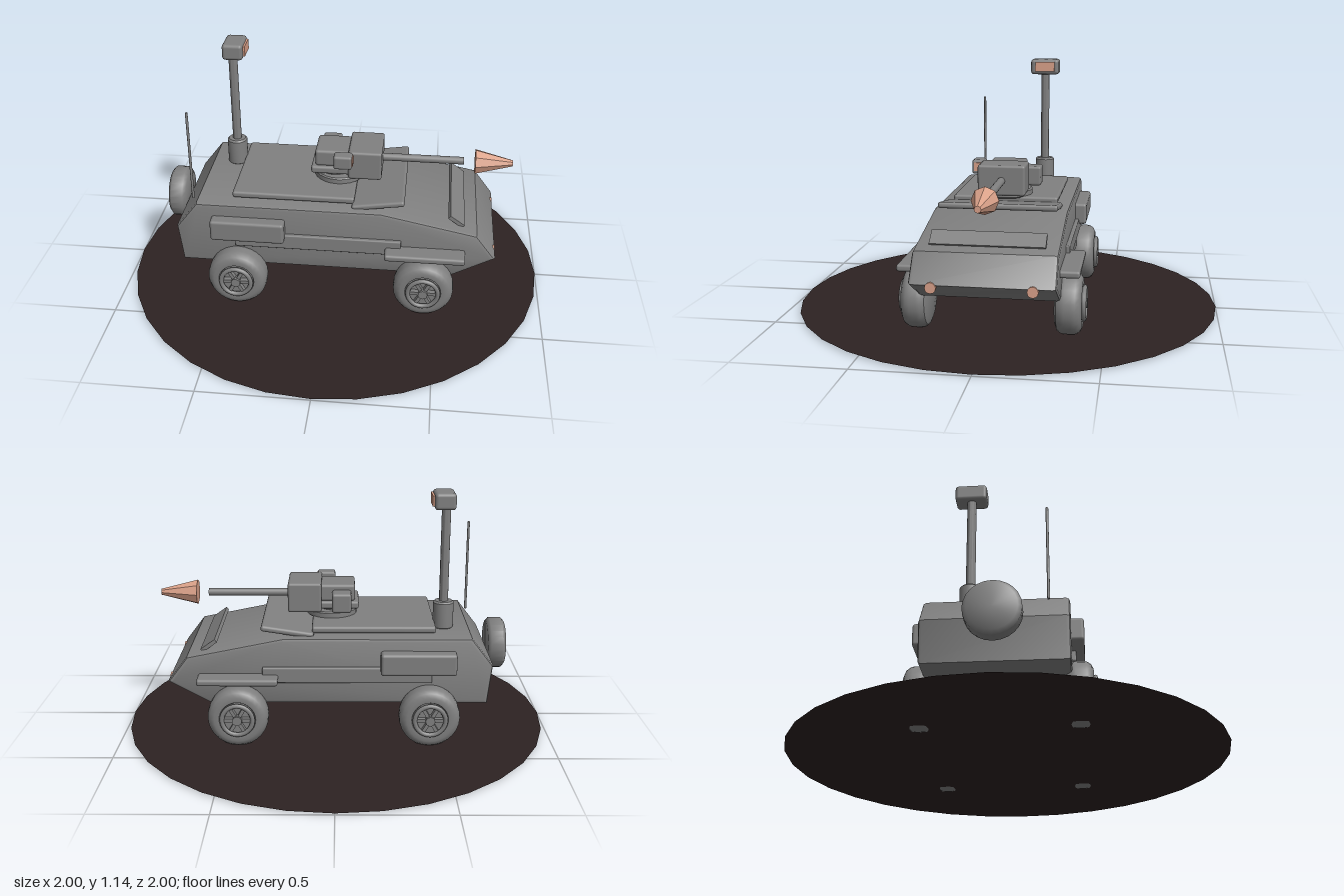
import * as THREE from 'three';
import { toCreasedNormals } from 'three/addons/utils/BufferGeometryUtils.js';
import { RoundedBoxGeometry } from 'three/addons/geometries/RoundedBoxGeometry.js';

export function createModel() {
  const model = new THREE.Group();
  model.name = 'scoutVehicle';
  const grey = new THREE.MeshStandardMaterial({ name: 'armourGrey', color: 0x808080 });
  const copper = new THREE.MeshStandardMaterial({ name: 'copper', color: 0xdba28a });
  const dark = new THREE.MeshStandardMaterial({ name: 'darkGround', color: 0x2d2222, side: THREE.DoubleSide });

  function add(name, geo, mat, x, y, z, parent = model) {
    const m = new THREE.Mesh(geo, mat);
    m.name = name;
    m.position.set(x, y, z);
    parent.add(m);
    return m;
  }
  // Rounded box given by its limits on each axis
  function box(name, x0, x1, y0, y1, z0, z1, r = 0.012, mat = grey) {
    const geo = r > 0
      ? new RoundedBoxGeometry(x1 - x0, y1 - y0, z1 - z0, 2, r)
      : new THREE.BoxGeometry(x1 - x0, y1 - y0, z1 - z0);
    return add(name, geo, mat, (x0 + x1) / 2, (y0 + y1) / 2, (z0 + z1) / 2);
  }
  // Cylinder standing on y0, with slightly chamfered rims
  function post(name, r, y0, y1, x, z, c = 0.006) {
    const h = y1 - y0;
    const pts = [[0, 0], [r - c, 0], [r, c], [r, h - c], [r - c, h], [0, h]].map(p => new THREE.Vector2(...p));
    return add(name, toCreasedNormals(new THREE.LatheGeometry(pts, 24), 0.6), grey, x, y0, z);
  }

  // Ground disc
  const disc = new THREE.CircleGeometry(1, 32).rotateX(-Math.PI / 2);
  add('groundDisc', disc, dark, 0, 0.007, 0);

  // Hull: side profile extruded across the width with bevelled edges
  const profile = [[-0.70, 0.185], [0.58, 0.185], [0.77, 0.29], [0.68, 0.41], [0.24, 0.5], [-0.62, 0.5], [-0.72, 0.37]];
  const hullShape = new THREE.Shape(profile.map(p => new THREE.Vector2(...p)));
  const b = 0.016;
  const hull = new THREE.ExtrudeGeometry(hullShape, {
    depth: 0.62 - 2 * b, bevelEnabled: true, bevelSize: b, bevelThickness: b, bevelOffset: -b, bevelSegments: 2,
  });
  hull.translate(0, 0, -0.31 + b);
  add('hull', toCreasedNormals(hull, 0.5), grey, 0, 0, 0);

  // Side equipment, mirrored
  for (const s of [1, -1]) {
    const side = (name, x0, x1, y0, y1, z0, z1, r) =>
      box(name, x0, x1, y0, y1, Math.min(s * z0, s * z1), Math.max(s * z0, s * z1), r);
    side('sideStowageBox', -0.55, -0.205, 0.338, 0.442, 0.28, 0.365, 0.014);
    side('sideRail', -0.44, 0.335, 0.292, 0.365, 0.28, 0.328, 0.006);
    side('frontFender', 0.262, 0.63, 0.3, 0.332, 0.28, 0.395, 0.012);
    const lamp = new THREE.CylinderGeometry(0.024, 0.024, 0.022, 12).rotateZ(-Math.PI / 2);
    add('headlight', lamp, copper, 0.76, 0.278, s * 0.213);
  }

  // Deck plates
  box('deckPlate', -0.46, 0.11, 0.505, 0.537, -0.25, 0.245, 0.012);
  const hatch = add('frontHatch', new RoundedBoxGeometry(0.245, 0.028, 0.545, 2, 0.012), grey, 0.222, 0.517, 0);
  hatch.rotation.z = 0.15;
  box('hatchRidge', 0.11, 0.16, 0.495, 0.515, -0.265, 0.265, 0.008);
  const vane = add('splashPlate', new THREE.BoxGeometry(0.08, 0.018, 0.5), grey, 0.585, 0.445, 0);
  vane.rotation.z = -0.62;

  // Turret
  post('turretRing', 0.12, 0.53, 0.565, 0.02, 0);
  post('turretCollar', 0.085, 0.56, 0.58, 0.0, 0);
  box('turretLower', -0.108, 0.09, 0.575, 0.612, -0.1, 0.1, 0.012);
  box('turretUpper', -0.09, 0.09, 0.608, 0.69, -0.085, 0.085, 0.014);
  box('gunHousing', 0.068, 0.226, 0.56, 0.702, -0.11, 0.11, 0.012);
  box('turretSight', 0.004, 0.09, 0.635, 0.702, 0.1, 0.16, 0.012);
  box('turretSightLens', 0.087, 0.094, 0.65, 0.69, 0.114, 0.15, 0, copper);
  box('turretSideBox', -0.072, 0.018, 0.572, 0.665, -0.16, -0.075, 0.012);
  const barrel = new THREE.CylinderGeometry(0.018, 0.018, 0.39, 20).rotateZ(-Math.PI / 2);
  add('gunBarrel', barrel, grey, 0.413, 0.63, 0);
  const flash = new THREE.CylinderGeometry(0.015, 0.06, 0.175, 8).toNonIndexed();
  flash.rotateZ(-Math.PI / 2).computeVertexNormals();
  add('muzzleCone', flash, copper, 0.748, 0.63, 0);

  // Sensor mast
  post('mastBase', 0.048, 0.495, 0.628, -0.502, -0.123, 0.008);
  post('mastPole', 0.021, 0.62, 1.075, -0.502, -0.123, 0.003);
  box('mastHead', -0.54, -0.443, 1.066, 1.143, -0.197, -0.053, 0.016);
  box('mastLens', -0.443, -0.434, 1.082, 1.13, -0.175, -0.077, 0, copper);

  // Whip antenna
  post('antenna', 0.006, 0.48, 0.927, -0.652, 0.222, 0.001);

  // Spare wheel on the rear plate
  const sparePts = [[0, 0], [0.105, 0], [0.122, 0.014], [0.122, 0.07], [0.105, 0.085], [0, 0.085]];
  const spare = new THREE.LatheGeometry(sparePts.map(p => new THREE.Vector2(...p)), 24).rotateZ(-Math.PI / 2);
  add('spareWheel', toCreasedNormals(spare, 0.9), grey, -0.81, 0.378, 0);

  // Wheels: tyre lathe, rim ring, hub and spokes
  const tyrePts = [[0, 0], [0.1, 0], [0.126, 0.01], [0.138, 0.028], [0.14, 0.045], [0.14, 0.075], [0.138, 0.092],
    [0.126, 0.11], [0.106, 0.12], [0.084, 0.118], [0.078, 0.105], [0, 0.105]];
  const tyreGeo = toCreasedNormals(
    new THREE.LatheGeometry(tyrePts.map(p => new THREE.Vector2(...p)), 28).rotateX(Math.PI / 2), 0.6);
  const ringGeo = new THREE.TorusGeometry(0.07, 0.011, 8, 28);
  const hubGeo = new THREE.CylinderGeometry(0.022, 0.022, 0.036, 16).rotateX(Math.PI / 2);
  const spokeGeo = new THREE.BoxGeometry(0.055, 0.016, 0.026);
  for (const x of [-0.43, 0.447]) {
    for (const s of [1, -1]) {
      const wheel = new THREE.Group();
      wheel.name = 'wheel';
      wheel.position.set(x, 0.14, s * 0.278);
      if (s < 0) wheel.rotation.y = Math.PI;
      model.add(wheel);
      add('tyre', tyreGeo, grey, 0, 0, 0, wheel);
      add('rimRing', ringGeo, grey, 0, 0, 0.126, wheel);
      add('hub', hubGeo, grey, 0, 0, 0.12, wheel);
      for (let i = 0; i < 6; i++) {
        const a = i * Math.PI / 3;
        const spoke = add('spoke', spokeGeo, grey, Math.cos(a) * 0.042, Math.sin(a) * 0.042, 0.115, wheel);
        spoke.rotation.z = a;
      }
    }
  }
  return model;
}
